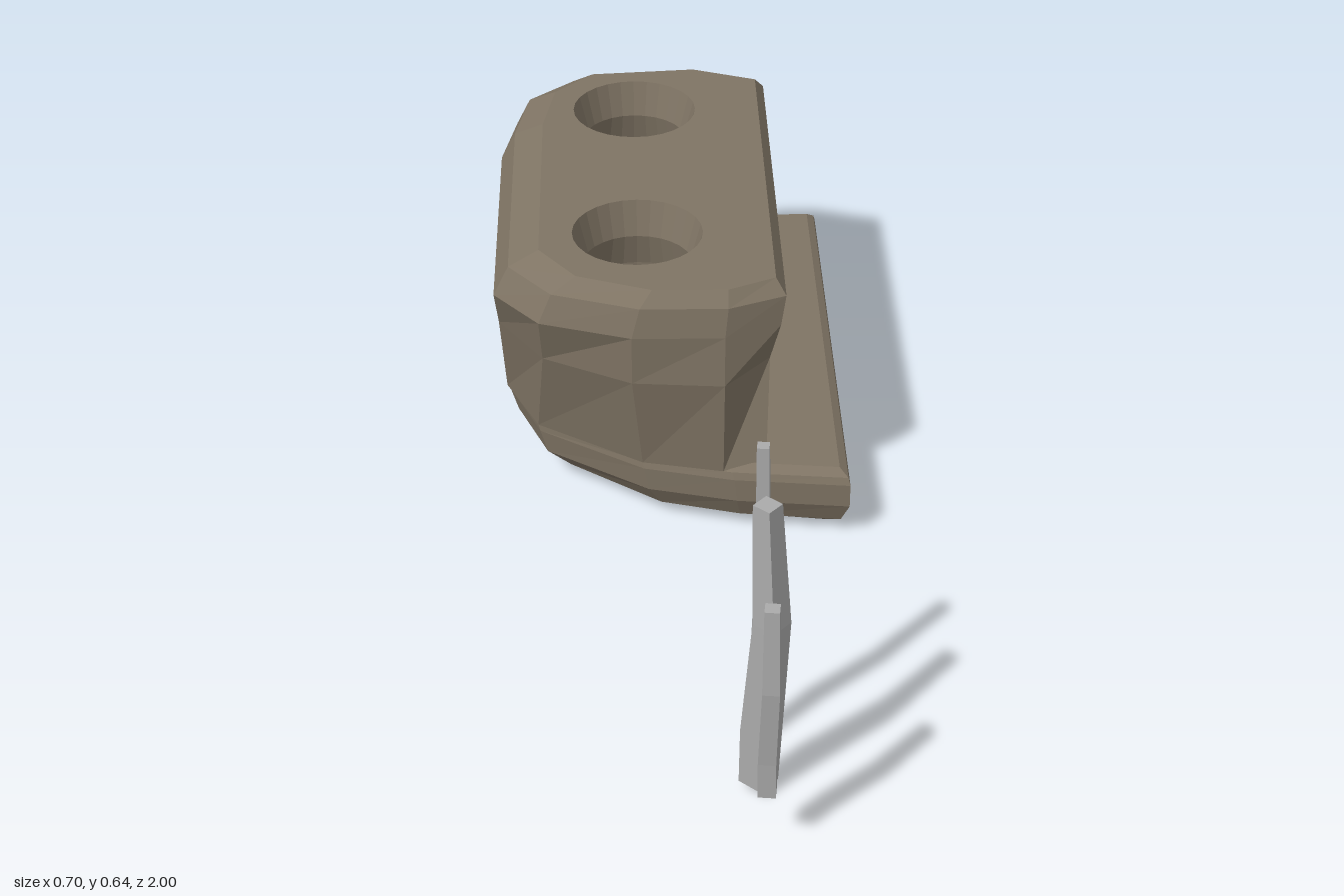
import * as THREE from 'three';

const stone = new THREE.MeshStandardMaterial({ color: 0x7f7464, flatShading: true });
stone.name = 'stone';
const wood = new THREE.MeshStandardMaterial({ color: 0xaaaaaa, flatShading: true });
wood.name = 'greyWood';

const V = (x, y, z) => new THREE.Vector3(x, y, z);

// Skin between successive rings of points; clockwise from above = outward going up
function loft(rings, closed = true) {
  const out = [];
  const tri = (...t) => {
    if (new THREE.Triangle(...t).getArea() > 1e-9) t.forEach(p => out.push(p.x, p.y, p.z));
  };
  for (let i = 0; i + 1 < rings.length; i++) {
    const lo = rings[i], hi = rings[i + 1], n = lo.length;
    for (let j = 0; j < (closed ? n : n - 1); j++) {
      const k = (j + 1) % n;
      tri(lo[j], hi[j], lo[k]);
      tri(lo[k], hi[j], hi[k]);
    }
  }
  const g = new THREE.BufferGeometry();
  g.setAttribute('position', new THREE.Float32BufferAttribute(out, 3));
  g.computeVertexNormals();
  return g;
}

// Ring collapsed to its middle, used to close an end
function collapse(ring) {
  const c = V(0, 0, 0);
  ring.forEach(p => c.add(p));
  c.divideScalar(ring.length);
  return ring.map(() => c);
}

// Squeeze a plan outline by separate insets on its left, right, front and back
function squeeze(plan, y, [l, r, f, b]) {
  const box = new THREE.Box2().setFromPoints(plan.map(p => new THREE.Vector2(...p)));
  const fit = (v, a, c, ia, ic) => THREE.MathUtils.mapLinear(v, a, c, a + ia, c - ic);
  return plan.map(([x, z]) =>
    V(fit(x, box.min.x, box.max.x, l, r), y, fit(z, box.min.y, box.max.y, b, f)));
}

export function createModel() {
  const model = new THREE.Group();
  const add = (name, geometry, material = stone) => {
    const m = new THREE.Mesh(geometry, material);
    m.name = name;
    model.add(m);
  };

  // Base slab with the ledge in front of the fire openings
  const basePlan = [[0.35, 0.07], [0.12, 0.045], [-0.06, 0], [-0.27, -0.14], [-0.335, -0.3],
    [-0.35, -0.46], [-0.35, -0.85], [-0.33, -0.99], [0.35, -1]];
  const base = [
    [0.002, [0.25, 0.12, 0.08, 0.02]], [0.01, [0.17, 0.05, 0.05, 0.005]],
    [0.03, [0.075, 0.015, 0.02, 0]], [0.075, [0.02, 0, 0, 0]],
    [0.125, [0.004, 0, 0, 0]], [0.14, [0, 0.004, 0.006, 0.01]], [0.15, [0.012, 0.02, 0.03, 0.02]]
  ].map(([y, inset]) => squeeze(basePlan, y, inset));
  add('baseSlab', loft([collapse(base[0]), ...base, collapse(base.at(-1))]));

  // Rough stove body with pinched corners, left open on the side with the fire openings
  const wallX = y => 0.185 + Math.max(0, y - 0.3) * 0.16;
  const lowPlan = [[0.19, 0.02], [0.1, 0.035], [-0.06, 0], [-0.27, -0.14], [-0.337, -0.29],
    [-0.35, -0.6], [-0.347, -0.86], [-0.2, -0.975], [0.05, -0.98], [0.19, -0.97]];
  const midPlan = [[0.2, -0.055], [0.1, 0.05], [-0.08, 0.035], [-0.255, -0.06], [-0.345, -0.2],
    [-0.345, -0.7], [-0.333, -0.86], [-0.21, -0.96], [0.05, -0.95], [0.2, -0.885]];
  const highPlan = [[0.215, -0.005], [0.1, 0.042], [-0.08, 0.04], [-0.26, -0.02], [-0.35, -0.13],
    [-0.35, -0.7], [-0.32, -0.86], [-0.22, -0.95], [0.05, -0.97], [0.215, -0.915]];
  const topY = 0.543;
  const body = [
    [lowPlan, 0.14, [0, 0, 0, 0]], [midPlan, 0.35, [0, 0, 0, 0]], [highPlan, 0.455, [0, 0, 0, 0]],
    [highPlan, 0.515, [0.03, 0, 0.01, 0.01]], [highPlan, topY, [0.09, 0.015, 0.035, 0.035]]
  ].map(([plan, y, inset]) => {
    const ring = squeeze(plan, y, inset);
    if (y < topY) ring[0].x = ring.at(-1).x = wallX(y);
    return ring;
  });
  const edge = body.slice(0, 4);
  add('bodySides', loft(edge, false));
  add('bodyTopEdge', loft(body.slice(3)));

  // Top plate with two cooking holes that widen into round fire pits
  const holeX = -0.065, holeZ = [-0.75, -0.22];
  const circle = (z, r, y) => Array.from({ length: 28 }, (_, i) => {
    const a = i / 28 * Math.PI * 2;
    return V(holeX + r * Math.cos(a), y, z + r * Math.sin(a));
  });
  const flat = ring => ring.map(p => new THREE.Vector2(p.x, -p.z));
  const top = new THREE.Shape(flat(body.at(-1)));
  for (const z of holeZ) {
    const rim = circle(z, 0.13, topY), floor = circle(z, 0.125, 0.16);
    top.holes.push(new THREE.Path(flat(rim)));
    add('cookingHole', loft([rim, circle(z, 0.11, 0.47), circle(z, 0.125, 0.4), floor, collapse(floor)]));
  }
  add('topPlate', new THREE.ShapeGeometry(top).rotateX(-Math.PI / 2).translate(0, topY, 0));

  // Fire openings, as points (-z, y): one rounded, one arched with a flat floor
  const arc = (s, y, rx, ry, from, to, n) => Array.from({ length: n }, (_, i) => {
    const a = from + (to - from) * i / (n - 1);
    return new THREE.Vector2(s + rx * Math.cos(a), y + ry * Math.sin(a));
  });
  const round = arc(0.225, 0.29, 0.12, 0.13, 0, Math.PI * 2, 15).slice(0, -1);
  const arch = [new THREE.Vector2(0.63, 0.158), new THREE.Vector2(0.856, 0.158),
    ...arc(0.743, 0.32, 0.113, 0.105, 0, Math.PI, 9)];

  // Wall around the openings
  const wall = new THREE.Shape([
    ...edge.map(r => new THREE.Vector2(-r[0].z, r[0].y)),
    ...edge.map(r => new THREE.Vector2(-r.at(-1).z, r[0].y)).reverse()]);
  wall.holes.push(new THREE.Path(round), new THREE.Path(arch));
  const wallGeo = new THREE.ShapeGeometry(wall);
  const pos = wallGeo.attributes.position;
  for (let i = 0; i < pos.count; i++) {
    const s = pos.getX(i), y = pos.getY(i);
    pos.setXYZ(i, wallX(y), y, -s);
  }
  wallGeo.computeVertexNormals();
  add('openingWall', wallGeo);

  // Short passages from the openings into the fire pits
  for (const pts of [round, arch]) {
    const inner = pts.map(p => V(0.02, p.y, -p.x));
    const mouth = pts.map(p => V(wallX(p.y), p.y, -p.x));
    add('firePassage', loft([inner, mouth]));
  }

  // Crooked square poles: sections are [x, y, z, half diagonal]
  const pole = (name, turn, sections) => {
    const rings = sections.map(([x, y, z, r]) => [0, 1, 2, 3].map(i => {
      const a = turn + i * Math.PI / 2;
      return V(x + r * Math.cos(a), y, z + r * Math.sin(a));
    }));
    add(name, loft([collapse(rings[0]), ...rings, collapse(rings.at(-1))]), wood);
  };
  pole('backPole', 0.9, [[0.137, 0.003, 0.68, 0.017], [0.137, 0.2, 0.675, 0.02],
    [0.14, 0.4, 0.69, 0.018], [0.137, 0.642, 0.682, 0.015]]);
  pole('middlePole', -0.05, [[0.132, 0.022, 0.82, 0.035], [0.135, 0.14, 0.822, 0.037],
    [0.148, 0.385, 0.838, 0.033], [0.137, 0.625, 0.83, 0.025]]);
  pole('frontPole', 0.9, [[0.138, 0.126, 0.97, 0.022], [0.137, 0.2, 0.972, 0.022],
    [0.14, 0.36, 0.985, 0.021], [0.139, 0.524, 0.977, 0.018]]);

  return model;
}
